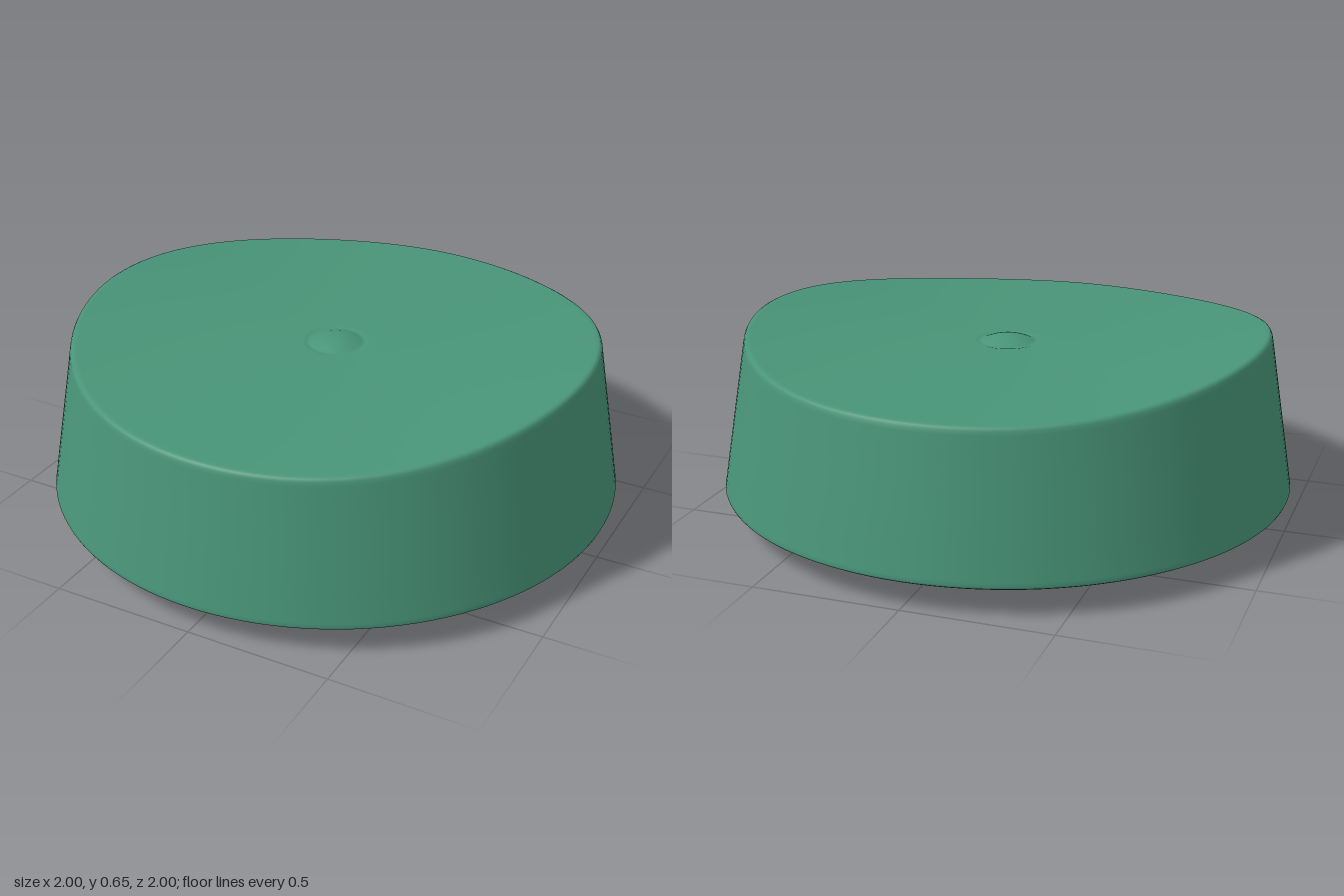
import * as THREE from 'three';
import { mergeVertices } from 'three/addons/utils/BufferGeometryUtils.js';

const RIM = 0.9, HEIGHT = 0.6, CENTRE = 0.585;

// Height of the dished top: high at the left and right rim, low at front and back.
function topHeight(x, z) {
  const r = Math.hypot(x, z);
  if (r < 1e-6) return CENTRE;
  const rim = 0.575 + 0.08 * Math.abs(x / r) ** 3;
  return CENTRE + (rim - CENTRE) * Math.min(1, r / RIM) ** 2;
}

function bodyProfile() {
  const pts = [
    // shallow underside and rounded lower edge
    [0, 0], [0.35, 0.003], [0.55, 0.009], [0.7, 0.017], [0.75, 0.023], [0.85, 0.05],
    [0.95, 0.078], [0.985, 0.088], [0.997, 0.095], [1, 0.102], [0.997, 0.115],
    // tapered side
    [0.98, 0.21], [0.96, 0.318], [0.94, 0.426], [0.92, 0.535], [0.913, 0.575],
    // small rounded rim
    [0.91, 0.588], [0.905, 0.596], [0.897, 0.6], [0.885, 0.6],
  ];
  // dished top
  for (let r = 0.84; r > 0.13; r -= 0.06) pts.push([r, HEIGHT]);
  // shallow groove around the raised centre button
  pts.push([0.115, HEIGHT], [0.105, HEIGHT - 0.002], [0.098, HEIGHT - 0.004], [0.09, HEIGHT - 0.001]);
  for (let i = 6; i >= 0; i--) {
    const r = 0.08 * i / 6;
    pts.push([r, HEIGHT + 0.02 - 0.017 * (r / 0.08) ** 2]);
  }
  return pts.map(([x, y]) => new THREE.Vector2(x, y));
}

export function createModel() {
  const group = new THREE.Group();
  group.name = 'roundCushion';

  let geo = new THREE.LatheGeometry(bodyProfile(), 128);
  const p = geo.attributes.position;
  // bend the upper part to the saddle shape, fading out down the side
  for (let i = 0; i < p.count; i++) {
    const x = p.getX(i), y = p.getY(i), z = p.getZ(i);
    const w = THREE.MathUtils.clamp((y - 0.1) / 0.45, 0, 1);
    p.setY(i, y + w * (topHeight(x, z) - HEIGHT));
  }
  // weld the seam and the poles for smooth shading
  geo.deleteAttribute('uv');
  geo.deleteAttribute('normal');
  geo = mergeVertices(geo, 1e-5);
  geo.computeVertexNormals();

  const body = new THREE.Mesh(geo, new THREE.MeshStandardMaterial({ color: 0x489478 }));
  body.name = 'body';
  group.add(body);
  return group;
}
